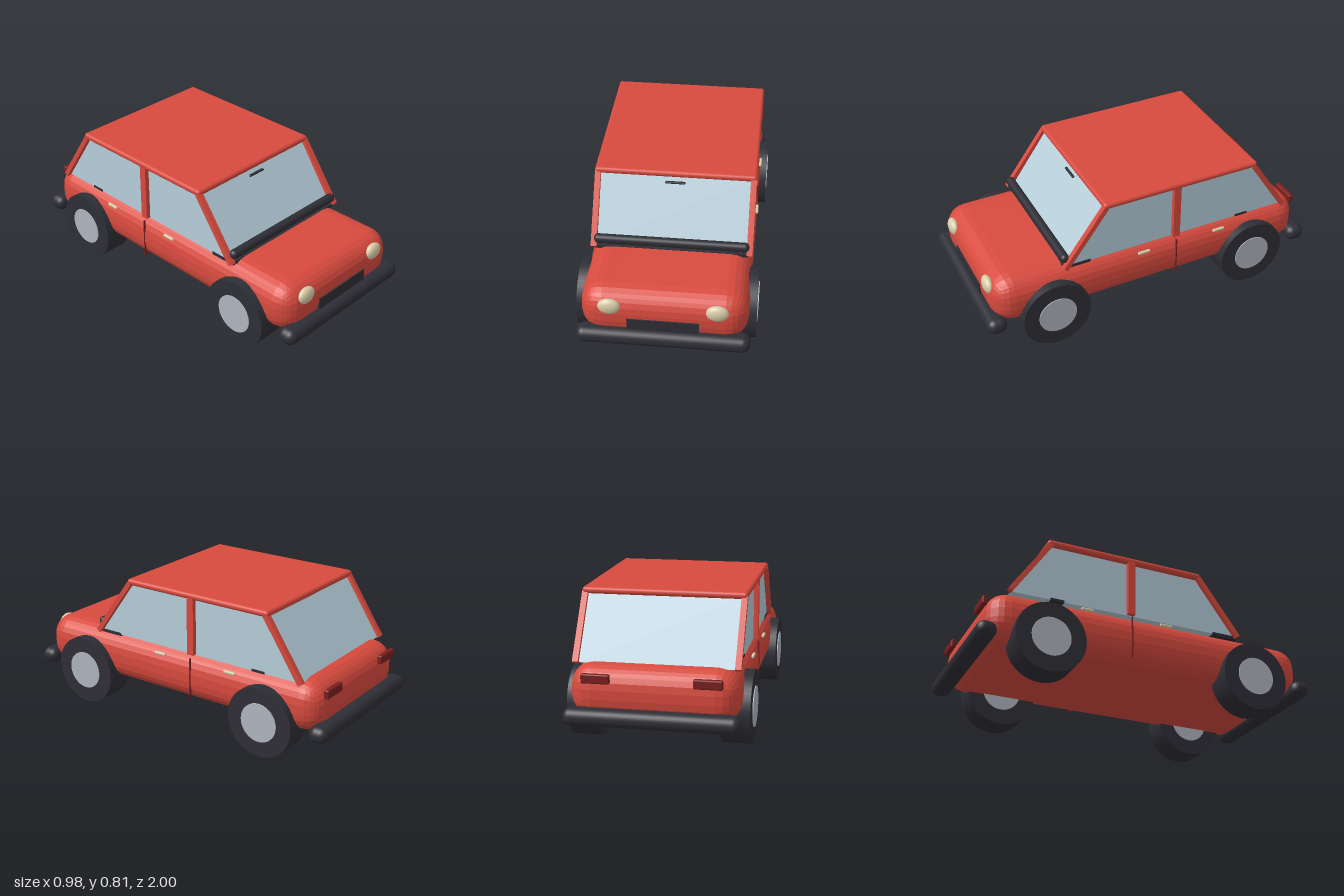
import * as THREE from 'three';
import { RoundedBoxGeometry } from 'three/addons/geometries/RoundedBoxGeometry.js';

function paint(name, color) {
  const m = new THREE.MeshStandardMaterial({ color });
  m.name = name;
  return m;
}

export function createModel() {
  const red = paint('body red', 0xd84a3e);
  const darkRed = paint('tail light red', 0x7a1f1f);
  const black = paint('rubber black', 0x2e2e36);
  const blue = paint('window blue', 0xb6ceda);
  const grey = paint('hub grey', 0xb0b5bf);
  const cream = paint('lamp cream', 0xd8cca8);

  const car = new THREE.Group();
  car.name = 'car';

  function add(name, geometry, material, x = 0, y = 0, z = 0) {
    const mesh = new THREE.Mesh(geometry, material);
    mesh.name = name;
    mesh.position.set(x, y, z);
    car.add(mesh);
    return mesh;
  }
  const box = (w, h, d) => new THREE.BoxGeometry(w, h, d);
  const rounded = (w, h, d, r, s = 4) => new RoundedBoxGeometry(w, h, d, s, r);

  // Square bar between two points of the side profile, given as [z, y]
  function bar(name, x, [z0, y0], [z1, y1], width, depth) {
    const mesh = add(name, box(width, Math.hypot(z1 - z0, y1 - y0), depth), red,
      x, (y0 + y1) / 2, (z0 + z1) / 2);
    mesh.rotation.x = Math.atan2(z1 - z0, y1 - y0);
  }

  // Lower body with faceted rounded edges
  const body = rounded(0.89, 0.29, 1.89, 0.12, 3);
  body.computeVertexNormals();
  add('body', body, red, 0, 0.315, 0.005);

  // Glass cabin, extruded across the car from its side profile
  const profile = new THREE.Shape([
    [0.525, 0.452], [0.29, 0.785], [-0.605, 0.785], [-0.825, 0.452],
  ].map(([z, y]) => new THREE.Vector2(z, y)));
  const cabin = new THREE.ExtrudeGeometry(profile, { depth: 0.83, bevelEnabled: false });
  cabin.translate(0, 0, -0.415);
  cabin.rotateY(-Math.PI / 2);
  add('windows', cabin, blue);

  // Roof
  add('roof', rounded(0.885, 0.036, 0.94, 0.017), red, 0, 0.792, -0.16);

  // Cowl, dashboard and rear shelf edges, mirror
  add('cowl', rounded(0.845, 0.052, 0.05, 0.024), black, 0, 0.502, 0.53);
  add('dashboard', box(0.835, 0.018, 0.155), black, 0, 0.452, 0.465);
  add('seatEdge', box(0.835, 0.014, 0.08), black, 0, 0.456, -0.56);
  add('mirror', rounded(0.11, 0.011, 0.02, 0.005), black, 0, 0.749, 0.315);

  // Bumpers
  for (const end of [1, -1]) {
    add(end > 0 ? 'frontBumper' : 'rearBumper',
      rounded(0.925, 0.092, 0.11, 0.044), black, 0, 0.201, end * 0.945);
  }

  // Number plate panel
  add('frontPanel', box(0.38, 0.068, 0.009), black, 0, 0.284, 0.952);

  for (const side of [1, -1]) {
    // Roof pillars
    bar('frontPillar', side * 0.425, [0.54, 0.452], [0.295, 0.785], 0.032, 0.028);
    bar('middlePillar', side * 0.425, [-0.13, 0.455], [-0.13, 0.785], 0.032, 0.042);
    bar('rearPillar', side * 0.425, [-0.832, 0.452], [-0.61, 0.785], 0.032, 0.028);

    // Door seam and handles
    add('doorSeam', box(0.012, 0.24, 0.006), darkRed, side * 0.442, 0.315, -0.13);
    for (const z of [0.075, -0.397]) {
      add('doorHandle', rounded(0.016, 0.018, 0.075, 0.007, 2), cream, side * 0.447, 0.419, z);
    }

    // Lamps
    const lamp = add('headlight', new THREE.SphereGeometry(1, 24, 16), cream, side * 0.283, 0.382, 0.934);
    lamp.scale.set(0.061, 0.048, 0.03);
    add('tailLight', rounded(0.15, 0.05, 0.03, 0.008, 2), darkRed, side * 0.29, 0.403, -0.944);

    // Wheels
    for (const z of [0.615, -0.612]) {
      const tyre = new THREE.CylinderGeometry(0.198, 0.198, 0.16, 40).rotateZ(Math.PI / 2);
      const hub = new THREE.CylinderGeometry(0.11, 0.11, 0.17, 32).rotateZ(Math.PI / 2);
      add('tyre', tyre, black, side * 0.405, 0.2, z);
      add('hub', hub, grey, side * 0.405, 0.2, z);
    }
  }
  return car;
}
